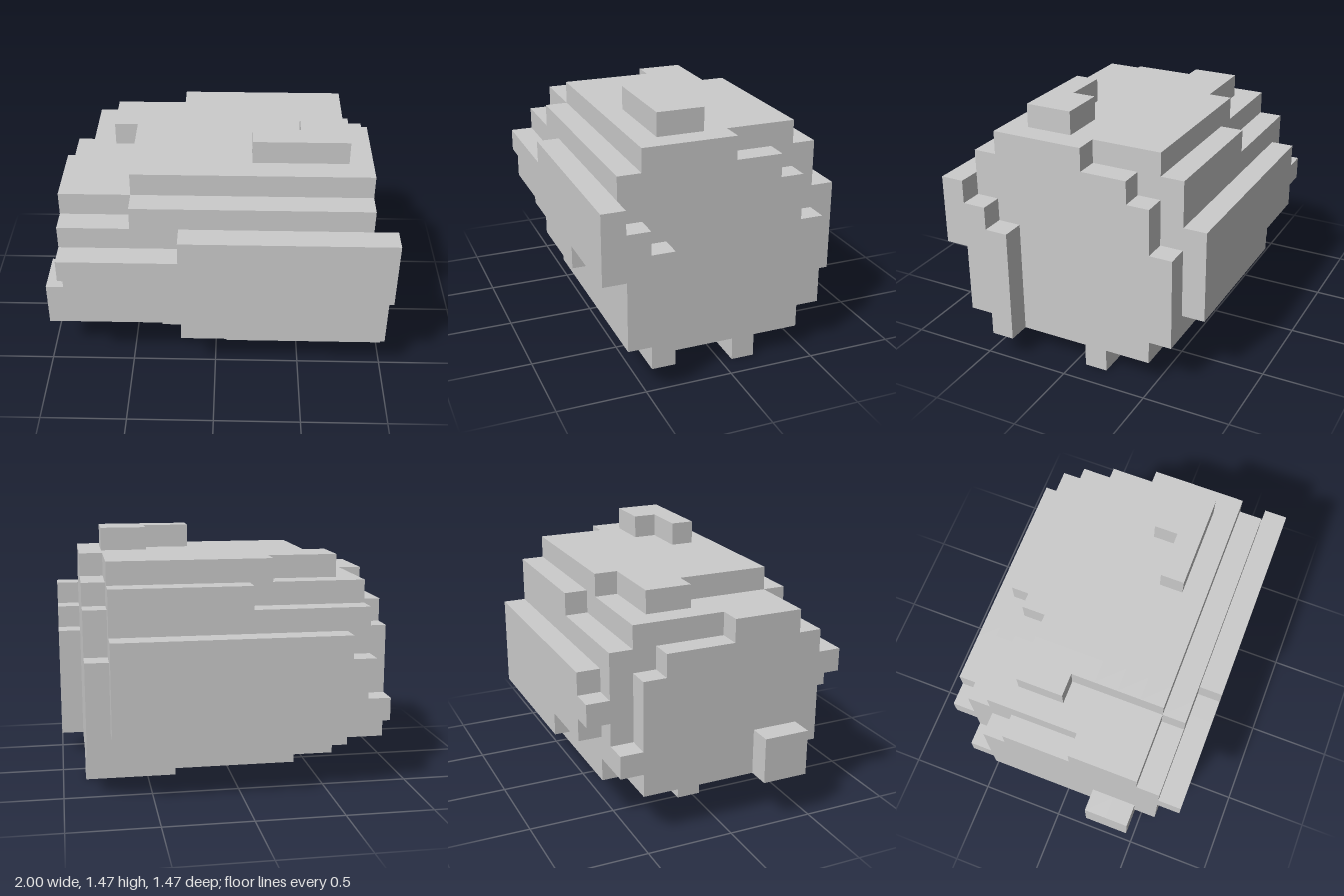
import * as THREE from 'three';

const U = 2 / 15; // edge of one cube
const ORIGIN = [-1, 0, -5.5 * U];

// Each part: layer number -> runs [first row z, last row z, first cube x, last cube x]
const PARTS = {
  foot: {
    0: [[4, 4, 10, 13], [5, 5, 7, 11]],
  },
  underside: {
    1: [[2, 2, 5, 13], [3, 3, 3, 13], [4, 4, 2, 13], [5, 6, 3, 13], [7, 7, 5, 13], [8, 8, 8, 14]],
    2: [[1, 1, 3, 13], [2, 7, 1, 13], [8, 8, 1, 14], [9, 9, 6, 14]],
  },
  body: {
    3: [[1, 7, 1, 13], [8, 9, 1, 14]],
    4: [[1, 1, 2, 13], [2, 7, 1, 13], [8, 9, 1, 14]],
    5: [[1, 1, 2, 13], [2, 7, 1, 13], [8, 9, 1, 14]],
    6: [[1, 1, 2, 12], [2, 8, 1, 13], [9, 9, 1, 14]],
    7: [[1, 1, 2, 12], [2, 2, 2, 13], [3, 9, 1, 13]],
  },
  frontSlab: {
    4: [[10, 10, 7, 10]],
    5: [[10, 10, 2, 14]],
    6: [[10, 10, 1, 14]],
    7: [[10, 10, 6, 14]],
  },
  backSlab: {
    3: [[0, 0, 6, 12]],
    4: [[0, 0, 3, 12]],
    5: [[0, 0, 2, 12]],
    6: [[0, 0, 3, 12]],
  },
  upperLayers: {
    8: [[1, 1, 7, 12], [2, 2, 2, 12], [3, 5, 2, 13], [6, 8, 1, 13], [9, 9, 4, 13]],
    9: [[2, 2, 6, 12], [3, 4, 3, 12], [5, 8, 4, 13]],
  },
  topKnob: {
    10: [[6, 6, 11, 12], [7, 7, 9, 12]],
  },
  sideStub: {
    2: [[7, 8, 0, 0]],
    3: [[7, 8, 0, 0]],
  },
};

// Expand the runs of a part into single cubes
function cubesOf(layers) {
  const cubes = [];
  for (const [y, runs] of Object.entries(layers)) {
    for (const [z0, z1, x0, x1] of runs) {
      for (let z = z0; z <= z1; z++) {
        for (let x = x0; x <= x1; x++) cubes.push([x, Number(y), z]);
      }
    }
  }
  return cubes;
}

// Outer faces only: a face is kept where no neighbouring cube touches it
function shell(cubes, filled) {
  const positions = [], normals = [], index = [];
  for (const cube of cubes) {
    for (let axis = 0; axis < 3; axis++) {
      for (const side of [-1, 1]) {
        const next = [...cube];
        next[axis] += side;
        if (filled.has(next.join())) continue;
        const u = (axis + 1) % 3, v = (axis + 2) % 3;
        const start = positions.length / 3;
        for (const [a, b] of [[0, 0], [1, 0], [1, 1], [0, 1]]) {
          const corner = [...cube];
          corner[axis] += side > 0 ? 1 : 0;
          corner[u] += a;
          corner[v] += b;
          positions.push(...corner.map((c, n) => ORIGIN[n] + c * U));
          normals.push(...[0, 1, 2].map((n) => (n === axis ? side : 0)));
        }
        const order = side > 0 ? [0, 1, 2, 0, 2, 3] : [0, 2, 1, 0, 3, 2];
        index.push(...order.map((n) => start + n));
      }
    }
  }
  const geometry = new THREE.BufferGeometry();
  geometry.setAttribute('position', new THREE.Float32BufferAttribute(positions, 3));
  geometry.setAttribute('normal', new THREE.Float32BufferAttribute(normals, 3));
  geometry.setIndex(index);
  return geometry;
}

export function createModel() {
  const group = new THREE.Group();
  group.name = 'blockyBoulder';
  const material = new THREE.MeshStandardMaterial({ color: 0xcccccc, flatShading: true });
  const filled = new Set(Object.values(PARTS).flatMap(cubesOf).map((c) => c.join()));
  for (const [name, layers] of Object.entries(PARTS)) {
    const mesh = new THREE.Mesh(shell(cubesOf(layers), filled), material);
    mesh.name = name;
    group.add(mesh);
  }
  return group;
}
